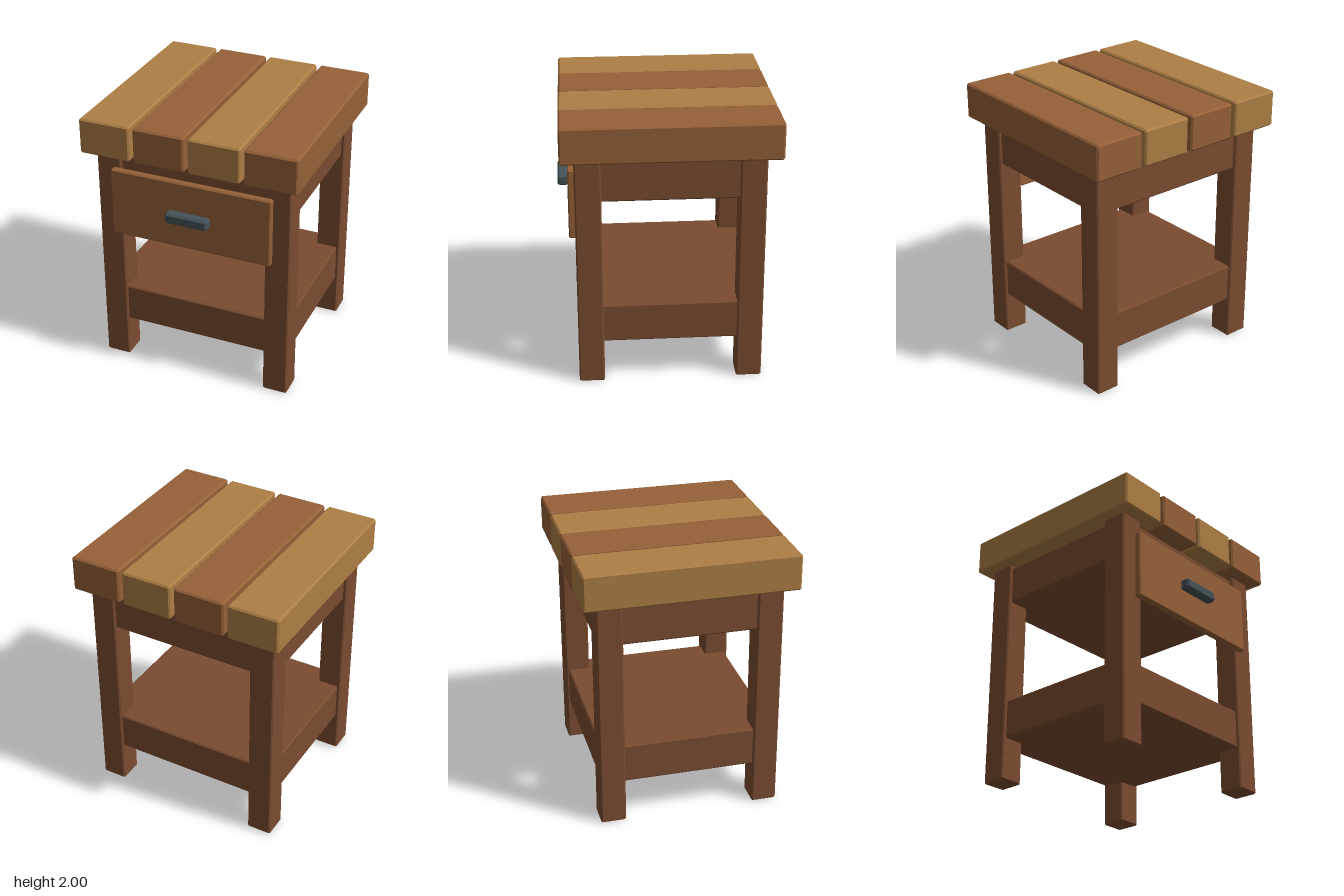
import * as THREE from 'three';
import { ConvexGeometry } from 'three/addons/geometries/ConvexGeometry.js';

const material = (color) => new THREE.MeshStandardMaterial({ color, flatShading: true });

// Box with chamfered edges, given by its [min, max] range on each axis
function chamferBox(name, x, y, z, bevel, mat) {
  const half = [x, y, z].map(([a, b]) => (b - a) / 2);
  const points = [];
  for (const sx of [-1, 1]) for (const sy of [-1, 1]) for (const sz of [-1, 1]) {
    for (let axis = 0; axis < 3; axis++) {
      // each corner becomes three points, one on each adjoining face
      const [px, py, pz] = half.map((h, i) => (i === axis ? h : h - bevel));
      points.push(new THREE.Vector3(sx * px, sy * py, sz * pz));
    }
  }
  const mesh = new THREE.Mesh(new ConvexGeometry(points), mat);
  mesh.position.set((x[0] + x[1]) / 2, (y[0] + y[1]) / 2, (z[0] + z[1]) / 2);
  mesh.name = name;
  return mesh;
}

export function createModel() {
  const model = new THREE.Group();
  model.name = 'nightstand';
  const lightWood = material(0xae7e45);
  const midWood = material(0x966138);
  const darkWood = material(0x7b4c30);
  const metal = material(0x455358);

  // Tabletop planks in alternating wood
  const planks = new THREE.Group();
  planks.name = 'tabletop';
  for (let i = 0; i < 4; i++) {
    const x = -0.813 + i * 0.413;
    planks.add(chamferBox('plank', [x, x + 0.384], [1.735, 2], [-0.78, 0.757], 0.012,
      i % 2 ? midWood : lightWood));
  }
  model.add(planks);

  // Four square legs
  for (const side of [-1, 1]) {
    for (const [end, z] of [['front', 0.567], ['back', -0.585]]) {
      model.add(chamferBox(end + (side > 0 ? 'Left' : 'Right') + 'Leg',
        [side * 0.642 - 0.093, side * 0.642 + 0.093], [0, 1.74], [z - 0.093, z + 0.093], 0.01, darkWood));
    }
  }

  // Solid drawer case and lower shelf, set slightly in from the legs
  model.add(chamferBox('drawerCase', [-0.71, 0.71], [1.42, 1.715], [-0.658, 0.637], 0.01, darkWood));
  model.add(chamferBox('lowerShelf', [-0.71, 0.71], [0.317, 0.61], [-0.658, 0.637], 0.01, darkWood));

  // Drawer front and its pull
  model.add(chamferBox('drawerFront', [-0.61, 0.605], [1.1, 1.62], [0.65, 0.705], 0.01, midWood));
  model.add(chamferBox('drawerHandle', [-0.162, 0.158], [1.32, 1.4], [0.702, 0.78], 0.014, metal));

  return model;
}
